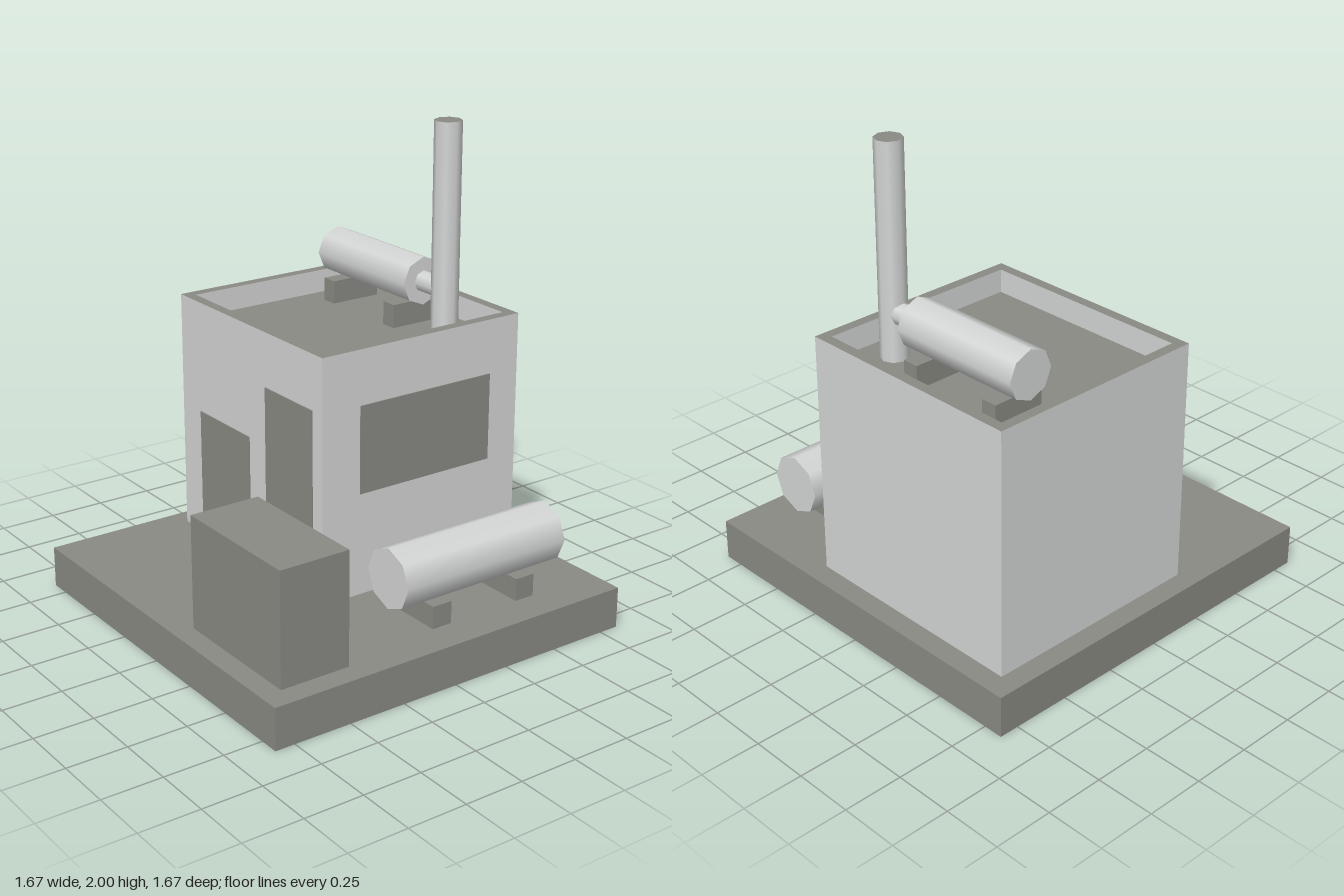
import * as THREE from 'three';

export function createModel() {
  const model = new THREE.Group();
  model.name = 'plantBuilding';

  const lightGrey = new THREE.MeshStandardMaterial({ color: 0xd5d7d6, side: THREE.DoubleSide });
  lightGrey.name = 'light grey';
  const darkGrey = new THREE.MeshStandardMaterial({ color: 0x8a8b84, side: THREE.DoubleSide });
  darkGrey.name = 'dark olive grey';

  const add = (name, geometry, material, x = 0, y = 0, z = 0) => {
    const mesh = new THREE.Mesh(geometry, material);
    mesh.name = name;
    mesh.position.set(x, y, z);
    model.add(mesh);
    return mesh;
  };

  // Box given by its limits; faces lists the kept sides (+x, -x, +y, -y, +z, -z)
  const block = (name, material, [x0, x1], [y0, y1], [z0, z1], faces = [0, 1, 2, 3, 4, 5]) => {
    const geometry = new THREE.BoxGeometry(x1 - x0, y1 - y0, z1 - z0);
    const index = Array.from(geometry.index.array);
    geometry.setIndex(faces.flatMap((f) => index.slice(f * 6, f * 6 + 6)));
    geometry.clearGroups();
    return add(name, geometry, material, (x0 + x1) / 2, (y0 + y1) / 2, (z0 + z1) / 2);
  };

  // Eight-sided, smooth-shaded tube along an axis
  const tube = (name, material, radius, length, axis, x, y, z) => {
    const geometry = new THREE.CylinderGeometry(radius, radius, length, 8);
    if (axis === 'x') geometry.rotateZ(Math.PI / 2);
    if (axis === 'z') geometry.rotateX(Math.PI / 2);
    return add(name, geometry, material, x, y, z);
  };

  const sides = [0, 1, 4, 5];
  const ground = 0.175, wallTop = 1.21, roofY = 1.11;

  // Base slab, hollow underneath
  block('base', darkGrey, [-0.835, 0.835], [0, ground], [-0.835, 0.835], [0, 1, 2, 4, 5]);

  // Building shell, running down into the base, with a parapet round the roof
  const outX = [-0.745, 0.275], outZ = [-0.745, 0.23];
  const inX = [-0.70, 0.23], inZ = [-0.70, 0.185];
  block('walls', lightGrey, outX, [0.065, wallTop], outZ, sides);
  block('parapetInside', lightGrey, inX, [roofY, wallTop], inZ, sides);
  block('roof', darkGrey, inX, [roofY - 0.01, roofY], inZ, [2]);

  // Flat rim on top of the parapet
  const outline = (target, [x0, x1], [z0, z1]) =>
    target.moveTo(x0, -z0).lineTo(x1, -z0).lineTo(x1, -z1).lineTo(x0, -z1).closePath();
  const rim = outline(new THREE.Shape(), outX, outZ);
  rim.holes.push(outline(new THREE.Path(), inX, inZ));
  add('parapetRim', new THREE.ShapeGeometry(rim).rotateX(-Math.PI / 2), darkGrey, 0, wallTop, 0);

  // Door and windows as thin plates
  block('door', darkGrey, [-0.605, -0.235], [ground, 0.73], [0.229, 0.234]);
  block('frontWindow', darkGrey, [-0.115, 0.21], [0.47, 0.98], [0.229, 0.234]);
  block('sideWindow', darkGrey, [0.274, 0.279], [0.61, 0.98], [-0.60, 0.05]);

  // Cabinet in front
  block('cabinet', darkGrey, [0.14, 0.74], [ground, 0.65], [0.44, 0.745]);

  // Ground tank on two feet
  tube('groundTank', lightGrey, 0.127, 0.79, 'z', 0.58, 0.387, -0.255);
  for (const z of [-0.045, -0.465]) {
    block('groundTankFoot', darkGrey, [0.475, 0.685], [ground, 0.27], [z - 0.045, z + 0.045]);
  }

  // Roof tank on two feet, piped to the chimney
  tube('roofTank', lightGrey, 0.102, 0.6, 'x', -0.35, 1.308, -0.51);
  for (const x of [-0.56, -0.14]) {
    block('roofTankFoot', darkGrey, [x - 0.035, x + 0.035], [roofY, 1.209], [-0.63, -0.40]);
  }
  tube('connectingPipe', lightGrey, 0.045, 0.13, 'x', 0.005, 1.307, -0.51);

  // Chimney with a dark top
  tube('chimney', [lightGrey, darkGrey, darkGrey], 0.057, 2 - roofY, 'y', 0.09, (2 + roofY) / 2, -0.51);

  return model;
}
